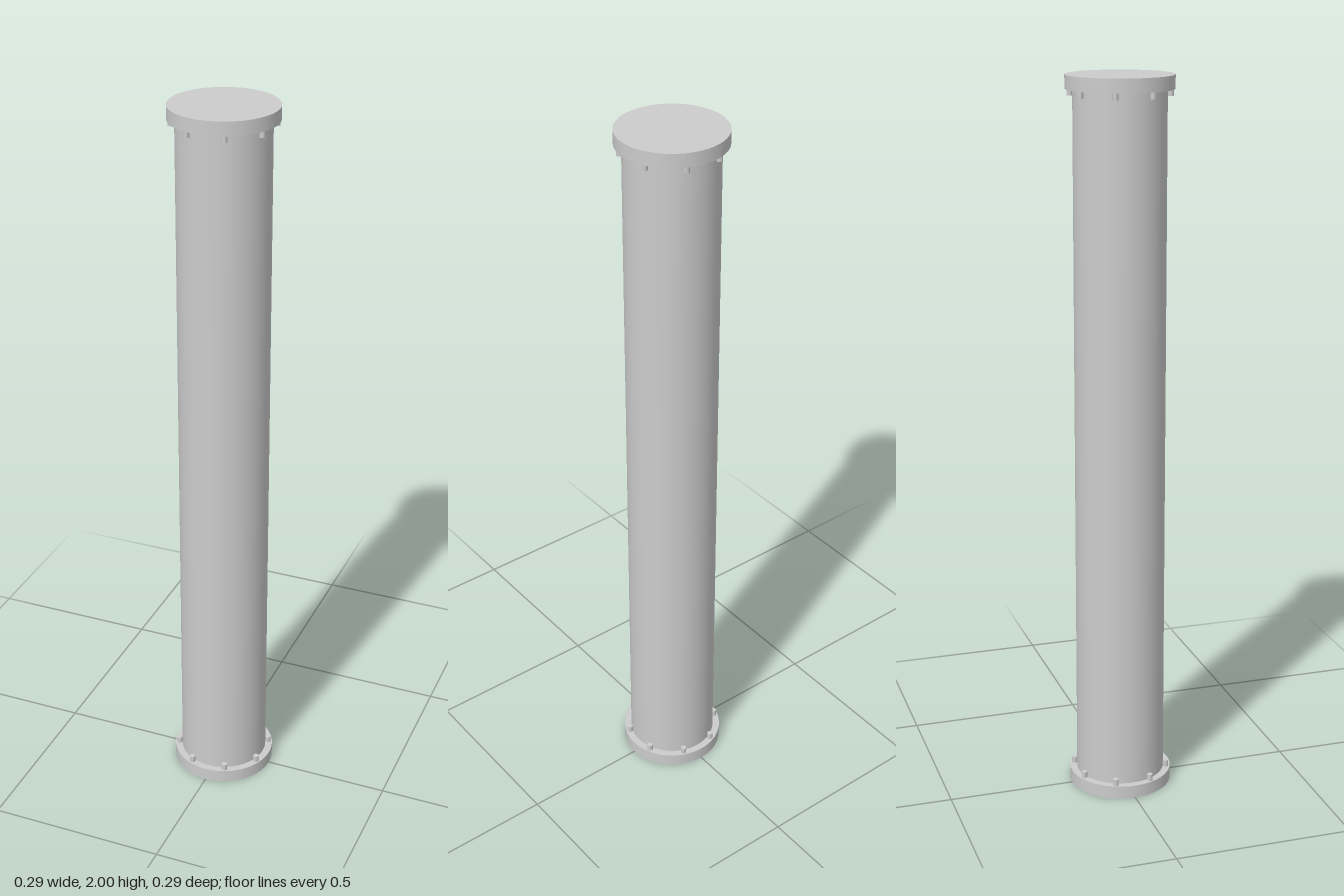
import * as THREE from 'three';

const HEIGHT = 2;
const FLANGE_RADIUS = 0.144, FLANGE_HEIGHT = 0.037;
const PIPE_RADIUS = 0.124;
const BOLT_COUNT = 8, BOLT_CIRCLE = 0.132, BOLT_RADIUS = 0.008, BOLT_HEIGHT = 0.018;

export function createModel() {
  const model = new THREE.Group();
  model.name = 'flangedColumn';
  const material = new THREE.MeshStandardMaterial({ color: 0xcccccc });

  const cylinder = (name, radius, height, y, sides, parent) => {
    const mesh = new THREE.Mesh(new THREE.CylinderGeometry(radius, radius, height, sides), material);
    mesh.name = name;
    mesh.position.y = y;
    parent.add(mesh);
    return mesh;
  };

  // Long pipe between the flanges
  cylinder('pipe', PIPE_RADIUS, HEIGHT - 2 * FLANGE_HEIGHT, HEIGHT / 2, 64, model);

  // One end: flange disc with a ring of bolts on its inner face
  const addEnd = (name) => {
    const end = new THREE.Group();
    end.name = name;
    cylinder('flange', FLANGE_RADIUS, FLANGE_HEIGHT, FLANGE_HEIGHT / 2, 64, end);
    for (let i = 0; i < BOLT_COUNT; i++) {
      const angle = ((i + 0.5) / BOLT_COUNT) * Math.PI * 2;
      const bolt = cylinder('bolt', BOLT_RADIUS, BOLT_HEIGHT, FLANGE_HEIGHT + BOLT_HEIGHT / 2, 16, end);
      bolt.position.x = Math.cos(angle) * BOLT_CIRCLE;
      bolt.position.z = Math.sin(angle) * BOLT_CIRCLE;
    }
    model.add(end);
    return end;
  };

  addEnd('bottomEnd');

  // The top end is the same part turned upside down
  const top = addEnd('topEnd');
  top.rotation.x = Math.PI;
  top.position.y = HEIGHT;

  return model;
}
